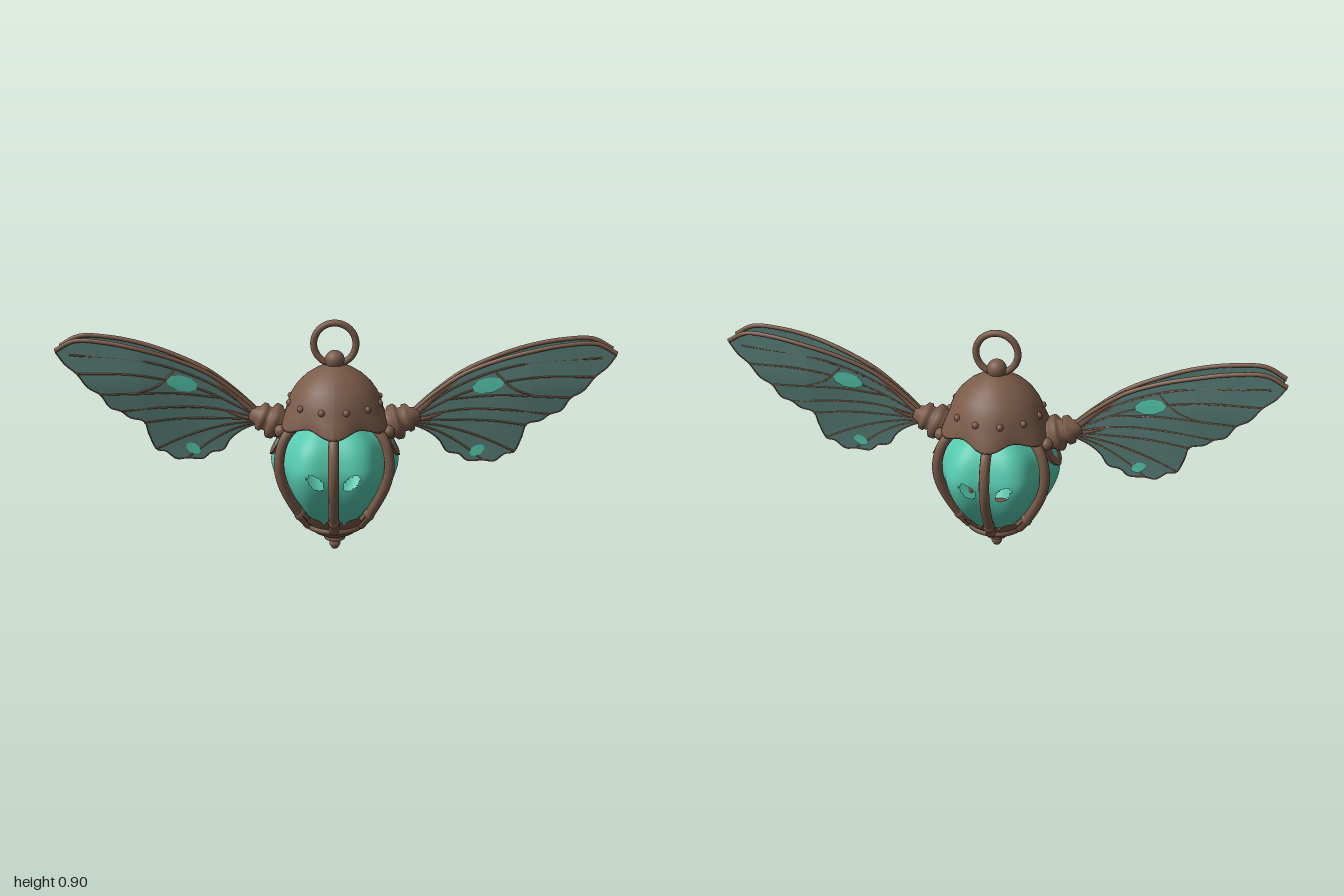
import * as THREE from 'three';

const mat = (name, color, double) => {
  const m = new THREE.MeshStandardMaterial({ color });
  m.name = name;
  if (double) m.side = THREE.DoubleSide;
  return m;
};
const V = (x, y, z = 0) => new THREE.Vector3(x, y, z);
const clamp01 = (t) => Math.min(1, Math.max(0, t));

export function createModel() {
  const bronze = mat('bronze', 0x7a5b49, true);
  const glass = mat('teal glass', 0x55c9ad, true);
  const membrane = mat('wing membrane', 0x587d77, true);
  const root = new THREE.Group();
  root.name = 'wingedLantern';

  const add = (parent, name, geo, material, x = 0, y = 0, z = 0) => {
    const m = new THREE.Mesh(geo, material);
    m.name = name;
    m.position.set(x, y, z);
    parent.add(m);
    return m;
  };
  // Lathe from [radius, y] pairs, optionally reshaped by a rule (phi, r, y) -> [r, y]
  const lathe = (pts, seg, rule) => {
    const g = new THREE.LatheGeometry(pts.map(([r, y]) => new THREE.Vector2(r, y)), seg);
    if (rule) {
      const p = g.attributes.position;
      for (let i = 0; i < p.count; i++) {
        const x = p.getX(i), z = p.getZ(i), phi = Math.atan2(x, z);
        const [r, y] = rule(phi, Math.hypot(x, z), p.getY(i));
        p.setXYZ(i, r * Math.sin(phi), y, r * Math.cos(phi));
      }
      g.computeVertexNormals();
    }
    return g;
  };
  const tube = (pts, r, seg = 24, sides = 8) =>
    new THREE.TubeGeometry(new THREE.CatmullRomCurve3(pts), seg, r, sides);

  // Hanging ring and knob
  add(root, 'hangingRing', new THREE.TorusGeometry(0.076, 0.0125, 12, 40), bronze, 0, 0.812, 0);
  add(root, 'ringKnob', new THREE.SphereGeometry(0.036, 20, 14), bronze, 0, 0.752, 0);

  // Roof with six flared points
  const roofPts = [[0, 0.535], [0.13, 0.535], [0.165, 0.545], [0.192, 0.536], [0.197, 0.545], [0.182, 0.575],
    [0.172, 0.6], [0.158, 0.632], [0.136, 0.665], [0.105, 0.695], [0.07, 0.718], [0.035, 0.735], [0, 0.74]];
  add(root, 'roof', lathe(roofPts, 72, (phi, r, y) => {
    const rim = clamp01((0.62 - y) / 0.08) * clamp01((r - 0.14) / 0.05);
    const c = Math.cos(6 * phi);
    return [r + rim * 0.012 * c, y - rim * (0.012 + 0.012 * c)];
  }), bronze);
  // Raised studs around the roof
  for (let k = 0; k < 12; k++) {
    const a = ((k + 0.5) * Math.PI) / 6;
    add(root, 'roofStud', new THREE.SphereGeometry(0.013, 10, 8), bronze,
      0.168 * Math.sin(a), 0.603, 0.168 * Math.cos(a));
  }

  // Rounded six-sided globe with two slanted eye openings, front and back
  const globeCurve = new THREE.SplineCurve([[0.1, 0.14], [0.15, 0.2], [0.198, 0.28], [0.222, 0.36],
    [0.213, 0.42], [0.18, 0.48], [0.11, 0.54]].map(([r, y]) => new THREE.Vector2(r, y)));
  const globe = lathe(globeCurve.getPoints(64).map((p) => [p.x, p.y]), 144,
    (phi, r, y) => [r * (1 - 0.065 * Math.cos(6 * phi)), y]);
  const gp = globe.attributes.position, kept = [], idx = globe.index.array;
  for (let i = 0; i < idx.length; i += 3) {
    let x = 0, y = 0, z = 0;
    for (let j = 0; j < 3; j++) {
      x += gp.getX(idx[i + j]) / 3;
      y += gp.getY(idx[i + j]) / 3;
      z += gp.getZ(idx[i + j]) / 3;
    }
    const dx = Math.abs(x) - 0.064, dy = y - 0.358;
    const a = (dx * 0.66 + dy * 0.75) / 0.038, b = (dx * 0.75 - dy * 0.66) / 0.02;
    if (Math.abs(z) < 0.1 || a * a + b * b > 1) kept.push(idx[i], idx[i + 1], idx[i + 2]);
  }
  globe.setIndex(kept);
  add(root, 'glassGlobe', globe, glass);

  // Six cage bars
  const barPts = [[0.12, 0.545], [0.165, 0.525], [0.205, 0.485], [0.226, 0.43], [0.23, 0.37],
    [0.215, 0.305], [0.185, 0.24], [0.15, 0.18], [0.11, 0.125]];
  const barGeo = tube(barPts.map(([r, y]) => V(0, y, r)), 0.019, 40, 10);
  for (let k = 0; k < 6; k++) {
    add(root, 'cageBar', barGeo, bronze).rotation.y = (k * Math.PI) / 3;
    const foot = add(root, 'barFoot', new THREE.SphereGeometry(0.022, 12, 8), bronze);
    const a = (k * Math.PI) / 3;
    foot.position.set(0.148 * Math.sin(a), 0.178, 0.148 * Math.cos(a));
    foot.scale.y = 1.2;
  }

  // Petal cup, base and finial
  add(root, 'petalCup', lathe([[0.108, 0.12], [0.122, 0.14], [0.138, 0.16], [0.154, 0.185]], 120, (phi, r, y) => {
    const t = clamp01((y - 0.13) / 0.055), s = Math.abs(Math.cos(6 * (phi + Math.PI / 12) + Math.PI / 2));
    return [r - t * 0.012 * (1 - s), y - t * 0.028 * (1 - Math.sqrt(s))];
  }), bronze);
  add(root, 'base', lathe([[0, 0.045], [0.028, 0.045], [0.04, 0.048], [0.042, 0.057], [0.036, 0.062],
    [0.055, 0.07], [0.082, 0.085], [0.098, 0.106], [0.116, 0.11], [0.119, 0.12], [0.116, 0.13],
    [0.104, 0.134], [0.1, 0.15], [0, 0.15]], 48), bronze);
  add(root, 'finial', lathe([[0, 0], [0.012, 0.005], [0.021, 0.02], [0.021, 0.03], [0.013, 0.042],
    [0.022, 0.05], [0, 0.055]], 24), bronze);

  // Wing outline curves, and how far each paired sheet stands off the middle plane
  const lead = [[0.27, 0.545], [0.36, 0.63], [0.46, 0.705], [0.58, 0.76], [0.7, 0.798], [0.82, 0.822],
    [0.93, 0.826], [1, 0.79]];
  const trail = [[0.27, 0.515], [0.34, 0.485], [0.385, 0.45], [0.415, 0.405], [0.46, 0.395], [0.49, 0.37],
    [0.55, 0.372], [0.59, 0.369], [0.63, 0.4], [0.66, 0.405], [0.685, 0.465], [0.7, 0.52], [0.75, 0.535],
    [0.78, 0.56], [0.82, 0.575], [0.85, 0.625], [0.89, 0.65], [0.93, 0.705], [0.97, 0.74], [1, 0.785]];
  const curve = (pts) => new THREE.CatmullRomCurve3(pts.map(([x, y]) => V(x, y)));
  const leadCurve = curve(lead), trailCurve = curve(trail);
  const standOff = (x, y) => 0.004 + 0.03 * clamp01((y - 0.42) / 0.25) * clamp01((x - 0.3) / 0.4)
    + 0.006 * Math.sin(Math.PI * clamp01((x - 0.5) / 0.5));

  const veins = [
    [[0.28, 0.54], [0.45, 0.665], [0.65, 0.745], [0.95, 0.775]],
    [[0.28, 0.535], [0.48, 0.64], [0.7, 0.7], [0.93, 0.705]],
    [[0.42, 0.61], [0.58, 0.63], [0.72, 0.63], [0.85, 0.625]],
    [[0.28, 0.53], [0.45, 0.57], [0.62, 0.575], [0.78, 0.56]],
    [[0.28, 0.525], [0.42, 0.53], [0.57, 0.53], [0.7, 0.515]],
    [[0.29, 0.52], [0.42, 0.5], [0.55, 0.46], [0.66, 0.41]],
    [[0.29, 0.515], [0.38, 0.485], [0.46, 0.44], [0.55, 0.372]],
    [[0.58, 0.715], [0.64, 0.66], [0.72, 0.63]],
  ];
  const spots = [[0.552, 0.668, 0.058, 0.03, 0.25], [0.525, 0.412, 0.03, 0.02, 0.6]];

  for (const s of [1, -1]) {
    const wing = new THREE.Group();
    wing.name = s > 0 ? 'leftWing' : 'rightWing';
    root.add(wing);
    for (const f of [1, -1]) {
      const on = (x, y, lift = 0) => V(s * x, y, f * (standOff(x, y) + lift));
      // Membrane lofted between leading and trailing edge
      const pos = [], index = [], nu = 80, nv = 12;
      for (let i = 0; i <= nu; i++) {
        const a = leadCurve.getPoint(i / nu), b = trailCurve.getPoint(i / nu);
        for (let j = 0; j <= nv; j++) {
          const p = a.clone().lerp(b, j / nv);
          pos.push(...on(p.x, p.y).toArray());
          if (i < nu && j < nv) {
            const q = i * (nv + 1) + j, r = q + nv + 1;
            if (s * f > 0) index.push(q, q + 1, r, r, q + 1, r + 1);
            else index.push(q, r, q + 1, r, r + 1, q + 1);
          }
        }
      }
      const g = new THREE.BufferGeometry();
      g.setAttribute('position', new THREE.Float32BufferAttribute(pos, 3));
      g.setIndex(index);
      g.computeVertexNormals();
      add(wing, 'wingMembrane', g, membrane);

      // Ribs and veins
      add(wing, 'leadingRib', tube(lead.map(([x, y]) => on(x, y)), 0.008, 40), bronze);
      add(wing, 'trailingEdge', tube(trailCurve.getPoints(60).map((p) => on(p.x, p.y)), 0.0025, 90, 5), bronze);
      for (const v of veins)
        add(wing, 'vein', tube(v.map(([x, y]) => on(x, y)), 0.0035, 24, 5), bronze);

      // Bright glass spots
      for (const [cx, cy, rx, ry, tilt] of spots) {
        const c = new THREE.CircleGeometry(1, 9), p = c.attributes.position;
        for (let i = 0; i < p.count; i++) {
          const x = p.getX(i) * rx, y = p.getY(i) * ry;
          const q = on(cx + x * Math.cos(tilt) - y * Math.sin(tilt),
            cy + x * Math.sin(tilt) + y * Math.cos(tilt), 0.005);
          p.setXYZ(i, q.x, q.y, q.z);
        }
        if (s * f < 0) c.setIndex(Array.from(c.index.array).reverse());
        c.computeVertexNormals();
        add(wing, 'wingSpot', c, glass);
      }
    }

    // Stem, hinge collars and rivets
    add(wing, 'wingStem', tube([V(s * 0.22, 0.51), V(s * 0.3, 0.56), V(s * 0.38, 0.635), V(s * 0.47, 0.7)], 0.015), bronze);
    add(wing, 'wingStem', tube([V(s * 0.24, 0.51), V(s * 0.33, 0.535), V(s * 0.44, 0.575)], 0.01), bronze);
    const hinge = new THREE.Group();
    hinge.name = 'wingHinge';
    hinge.position.set(s * 0.225, 0.518, 0);
    hinge.rotation.z = -s * 1.2;
    wing.add(hinge);
    add(hinge, 'hingeCollar', lathe([[0, -0.08], [0.05, -0.08], [0.055, -0.02], [0.066, -0.012], [0.068, 0.008],
      [0.058, 0.016], [0.046, 0.02], [0.046, 0.034], [0.054, 0.038], [0.052, 0.054], [0.034, 0.064],
      [0.024, 0.09], [0, 0.095]], 28), bronze);
    for (const f of [1, -1])
      add(wing, 'rivet', new THREE.SphereGeometry(0.024, 14, 10), bronze, s * 0.195, 0.503, f * 0.068);

    // Pointed shield hugging the globe below the hinge
    const sh = new THREE.Shape();
    sh.moveTo(-0.08, 0.54);
    sh.lineTo(-0.075, 0.46);
    sh.quadraticCurveTo(-0.06, 0.4, 0, 0.388);
    sh.quadraticCurveTo(0.06, 0.4, 0.075, 0.46);
    sh.lineTo(0.08, 0.54);
    const shield = new THREE.ExtrudeGeometry(sh, { depth: 0.014, bevelEnabled: false, curveSegments: 10 });
    shield.rotateY((s * Math.PI) / 2);
    const sp = shield.attributes.position;
    for (let i = 0; i < sp.count; i++) {
      const y = sp.getY(i), z = sp.getZ(i);
      sp.setX(i, sp.getX(i) + s * (0.228 - 0.42 * Math.max(0, y - 0.4) - 2.2 * z * z));
    }
    shield.computeVertexNormals();
    add(wing, 'hingeShield', shield, bronze);
  }
  return root;
}
